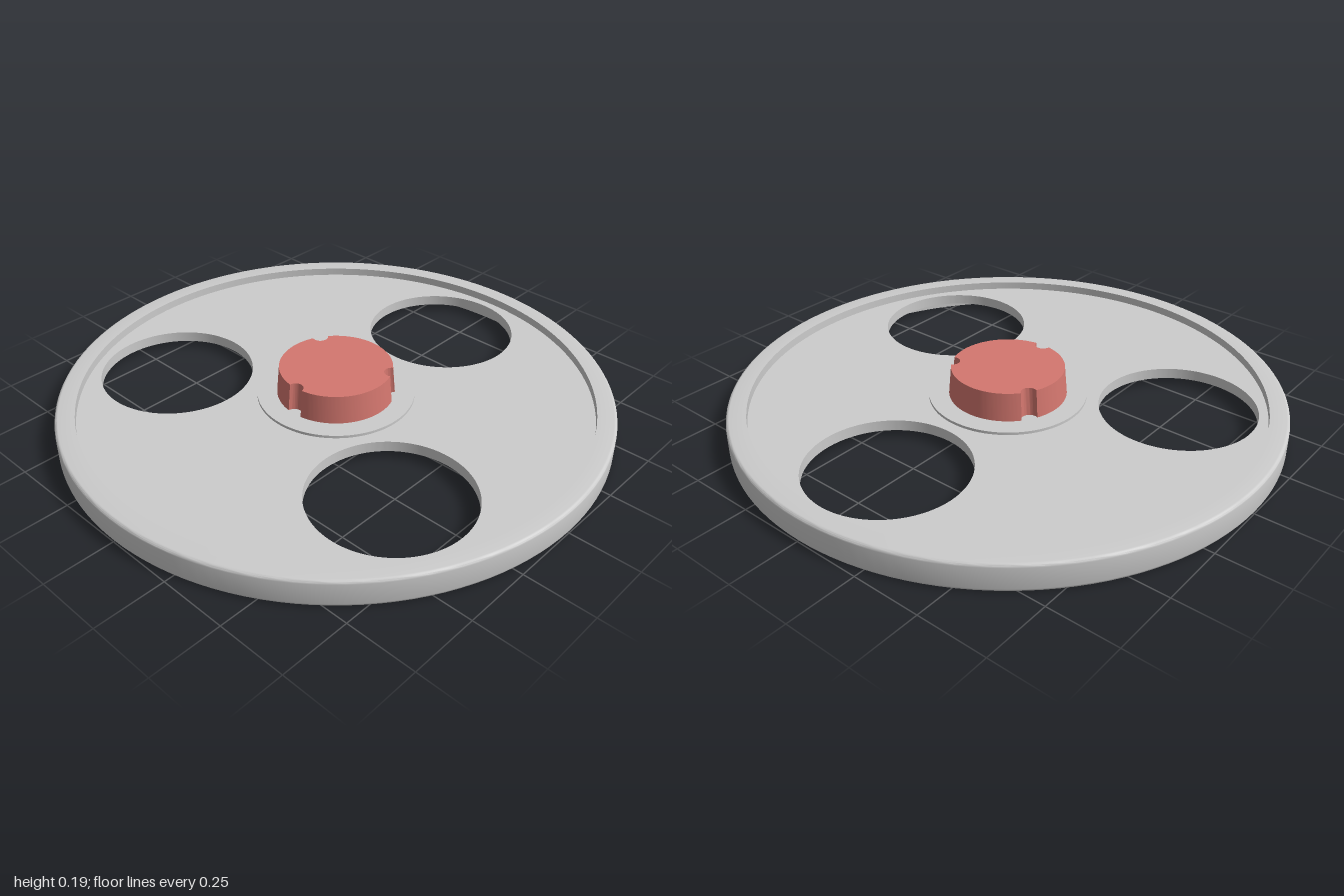
import * as THREE from 'three';
import { toCreasedNormals } from 'three/addons/utils/BufferGeometryUtils.js';

const grey = new THREE.MeshStandardMaterial({ color: 0xcccccc });
const red = new THREE.MeshStandardMaterial({ color: 0xd4776f });

function addPart(group, name, geometry, material) {
  const mesh = new THREE.Mesh(toCreasedNormals(geometry, 0.6), material);
  mesh.name = name;
  group.add(mesh);
}

// Extrudes a flat outline upward from y0 to y1
function slab(shape, y0, y1, curveSegments) {
  return new THREE.ExtrudeGeometry(shape, { depth: y1 - y0, bevelEnabled: false, curveSegments })
    .rotateX(-Math.PI / 2)
    .translate(0, y0, 0);
}

// Rim: a ring with softened outer edges
function rimGeometry() {
  const inner = 0.93, height = 0.1, r = 0.012;
  const points = [new THREE.Vector2(inner, 0)];
  for (const [cy, start] of [[r, -Math.PI / 2], [height - r, 0]]) {
    for (let i = 0; i <= 4; i++) {
      const a = start + (i / 4) * Math.PI / 2;
      points.push(new THREE.Vector2(1 - r + r * Math.cos(a), cy + r * Math.sin(a)));
    }
  }
  points.push(new THREE.Vector2(inner, height), new THREE.Vector2(inner, 0));
  return new THREE.LatheGeometry(points, 128);
}

// Web: a thin disc with three round openings
function webGeometry() {
  const shape = new THREE.Shape().absarc(0, 0, 0.94, 0, Math.PI * 2);
  for (let i = 0; i < 3; i++) {
    const a = (i * Math.PI * 2) / 3;
    shape.holes.push(new THREE.Path().absarc(0.615 * Math.cos(a), 0.615 * Math.sin(a), 0.283, 0, Math.PI * 2, true));
  }
  return slab(shape, 0.03, 0.07, 96);
}

// Knob: a tapered disc with three rounded notches between the openings
function knobGeometry() {
  const R = 0.215, notch = 0.03, y0 = 0.075, y1 = 0.185;
  const half = 2 * Math.asin(notch / (2 * R));
  const shape = new THREE.Shape();
  for (let i = 0; i < 3; i++) {
    const a = Math.PI / 3 + (i * Math.PI * 2) / 3;
    // Notch arc, bulging toward the centre
    const edge = Math.PI / 2 + half / 2;
    shape.absarc(R * Math.cos(a), R * Math.sin(a), notch, a - edge, a + edge, true);
    shape.absarc(0, 0, R, a + half, a + (Math.PI * 2) / 3 - half, false);
  }
  const geometry = slab(shape, y0, y1, 28);
  const p = geometry.attributes.position;
  for (let i = 0; i < p.count; i++) {
    const s = 1 - 0.045 * (p.getY(i) - y0) / (y1 - y0);
    p.setX(i, p.getX(i) * s);
    p.setZ(i, p.getZ(i) * s);
  }
  return geometry;
}

export function createModel() {
  const group = new THREE.Group();
  group.name = 'wheel';
  addPart(group, 'rim', rimGeometry(), grey);
  addPart(group, 'web', webGeometry(), grey);
  addPart(group, 'hub', new THREE.CylinderGeometry(0.287, 0.287, 0.06, 96).translate(0, 0.05, 0), grey);
  addPart(group, 'knob', knobGeometry(), red);
  return group;
}
